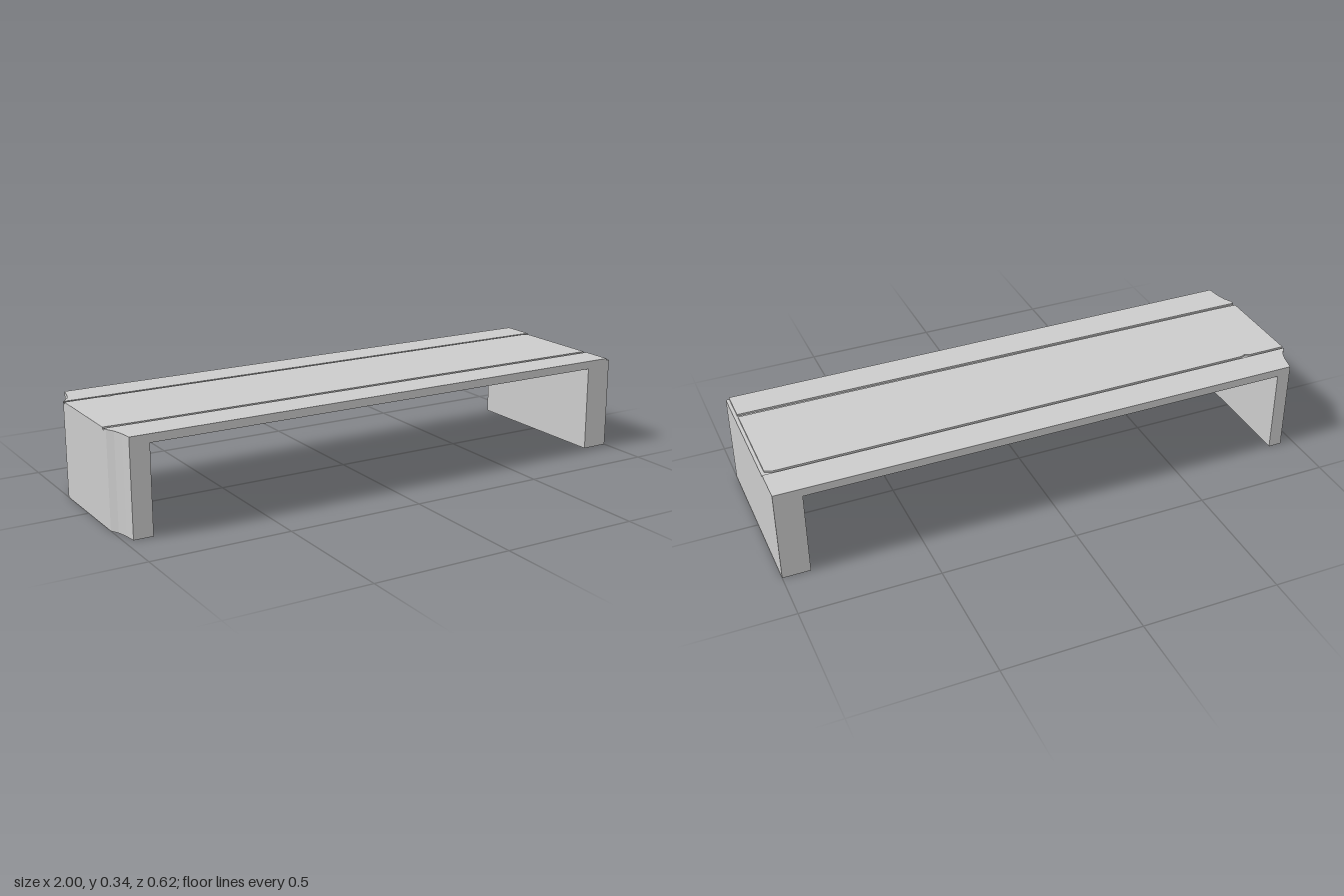
import * as THREE from 'three';

export function createModel() {
  const group = new THREE.Group();
  group.name = 'bench';
  const material = new THREE.MeshStandardMaterial({ color: 0xcccccc, flatShading: true });

  // Extrude a plan outline of [x, z] points between two heights.
  function slab(name, points, bottom, top) {
    const shape = new THREE.Shape(points.map(([x, z]) => new THREE.Vector2(x, -z)));
    const geometry = new THREE.ExtrudeGeometry(shape, { depth: top - bottom, bevelEnabled: false });
    geometry.rotateX(-Math.PI / 2);
    geometry.translate(0, bottom, 0);
    const mesh = new THREE.Mesh(geometry, material);
    mesh.name = name;
    group.add(mesh);
  }

  const half = 0.31, legTop = 0.315, grooveFloor = 0.338, top = 0.345;

  // Worn corners on the right end, each listed from back to front.
  const backCorner = [[-0.95, -half], [-0.962, -0.255], [-0.975, -0.22], [-1, -0.188]];
  const frontCorner = [[-1, 0.195], [-0.985, 0.225], [-0.975, 0.265], [-0.97, half]];
  const rightEdge = [...backCorner, ...frontCorner];

  // Legs and the core of the seat
  slab('rightLeg', [...rightEdge, [-0.9, half], [-0.9, -half]], 0, legTop);
  slab('leftLeg', [[0.9, -half], [0.9, half], [1, half], [1, -half]], 0, legTop);
  slab('seatCore', [...rightEdge, [1, half], [1, -half]], legTop, grooveFloor);

  // Three top boards, parted by shallow grooves; two stop short of the left end
  slab('backBoard', [...backCorner, [1, -0.187], [1, -half]], grooveFloor, top);
  slab('middleBoard', [
    [-1, -0.178], [-0.86, -0.178], [-0.84, -0.17], [-0.82, -0.177], [0.96, -0.177], [0.988, -0.165],
    [0.988, 0.178], [-0.9, 0.168], [-1, 0.165],
  ], grooveFloor, top);
  slab('frontBoard', [[-1, 0.18], ...frontCorner, [0.988, half], [0.988, 0.193], [-0.9, 0.181]], grooveFloor, top);

  return group;
}
